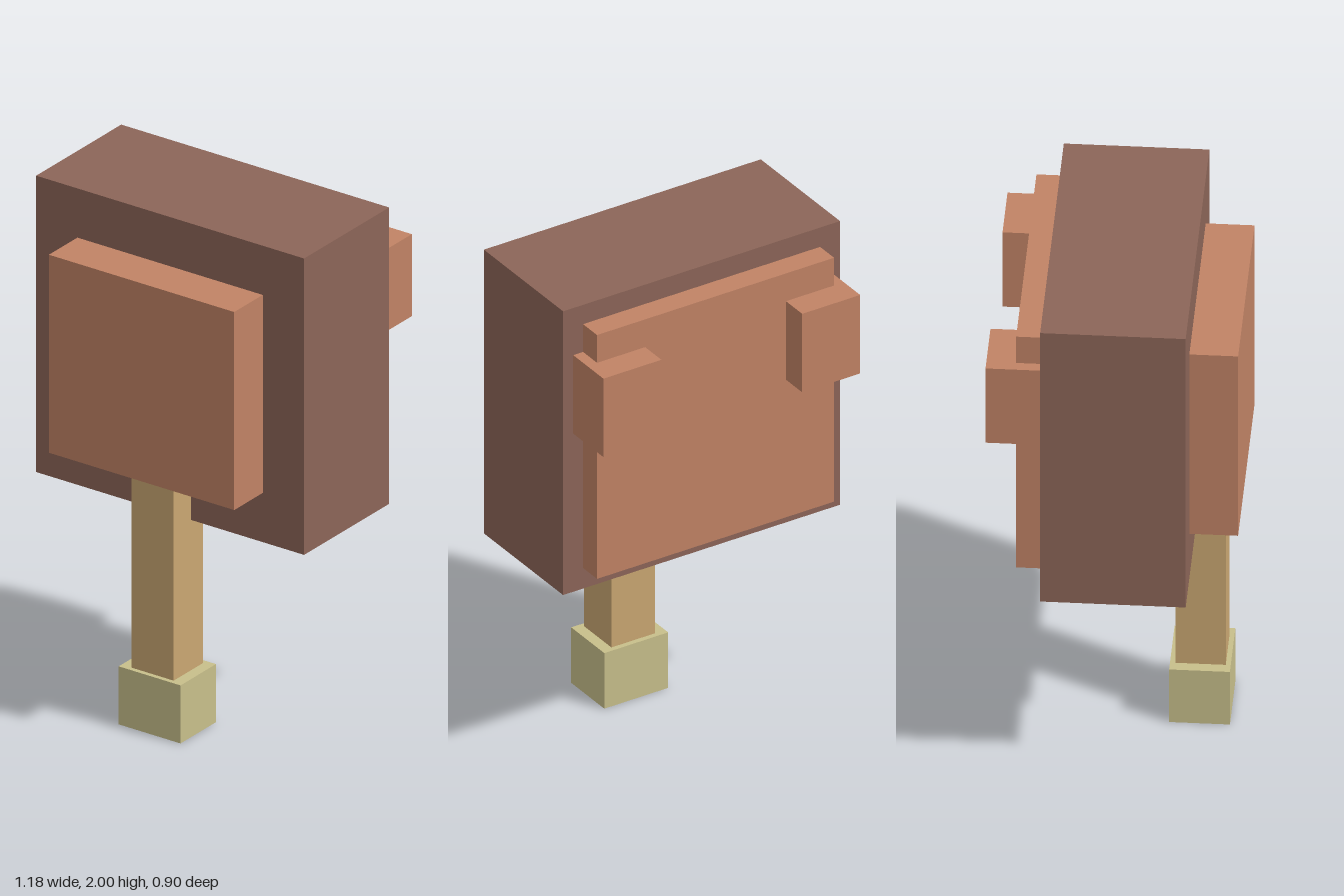
import * as THREE from 'three';

function flat(name, color) {
  const material = new THREE.MeshStandardMaterial({ color });
  material.name = name;
  return material;
}

export function createModel() {
  const group = new THREE.Group();
  group.name = 'mallet';

  const brown = flat('dark brown', 0x8c6558);
  const clay = flat('clay', 0xc18365);
  const wood = flat('wood', 0xcaa772);
  const straw = flat('straw', 0xc8bf8b);

  // Box given by its extents along each axis
  function box(name, material, [x0, x1], [y0, y1], [z0, z1]) {
    const mesh = new THREE.Mesh(new THREE.BoxGeometry(x1 - x0, y1 - y0, z1 - z0), material);
    mesh.position.set((x0 + x1) / 2, (y0 + y1) / 2, (z0 + z1) / 2);
    mesh.name = name;
    group.add(mesh);
  }

  // Head with its front and back panels
  box('head', brown, [-0.59, 0.59], [0.825, 2], [-0.25, 0.272]);
  box('frontPanel', clay, [-0.408, 0.408], [1.02, 1.805], [0.26, 0.447]);
  box('backPanel', clay, [-0.505, 0.505], [0.91, 1.92], [-0.342, -0.24]);

  // Pair of blocks on the upper back
  for (const side of [-1, 1]) {
    const xs = [side * 0.3, side * 0.547].sort((a, b) => a - b);
    box(side > 0 ? 'leftBackBlock' : 'rightBackBlock', clay, xs, [1.48, 1.805], [-0.449, -0.24]);
  }

  // Handle and its end cap
  box('handle', wood, [-0.093, 0.093], [0.22, 1.03], [0.2, 0.38]);
  box('handleCap', straw, [-0.136, 0.136], [0, 0.23], [0.18, 0.398]);

  return group;
}
